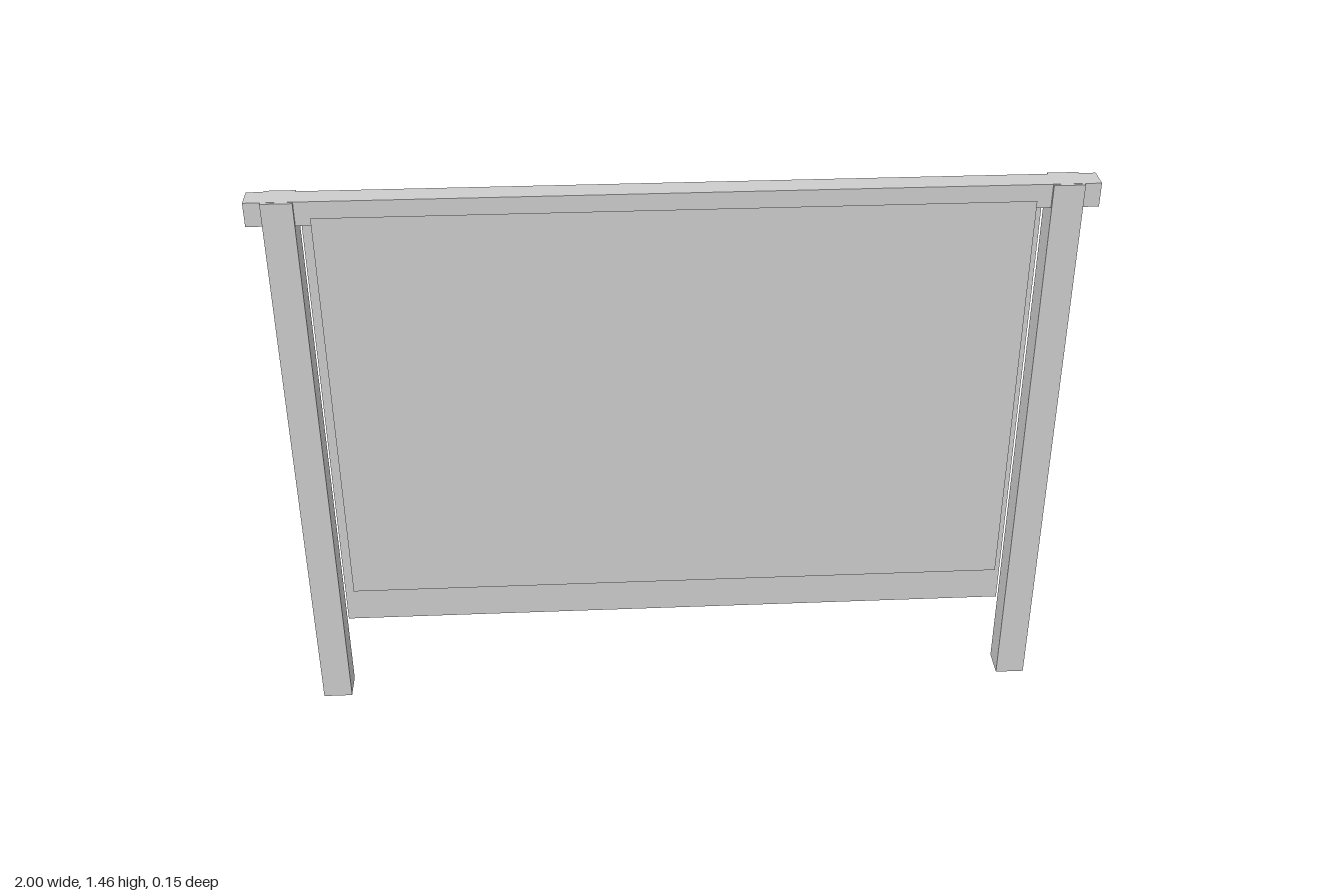
import * as THREE from 'three';

const grey = new THREE.MeshStandardMaterial({ color: 0xcccccc, flatShading: true, side: THREE.DoubleSide });
grey.name = 'light grey';

const V = (x, y) => new THREE.Vector2(x, y);

export function createModel() {
  const group = new THREE.Group();
  group.name = 'framedBoard';

  const add = (name, geometry, x, y, z) => {
    const mesh = new THREE.Mesh(geometry, grey);
    mesh.name = name;
    mesh.position.set(x, y, z);
    group.add(mesh);
  };

  // Two square posts
  const post = new THREE.BoxGeometry(0.075, 1.46, 0.075);
  for (const side of [-1, 1]) {
    add(side > 0 ? 'leftPost' : 'rightPost', post, side * 0.9225, 0.73, 0.028);
  }

  // Beam across the top
  add('topBeam', new THREE.BoxGeometry(2, 0.06, 0.06), 0, 1.4305, 0.028);

  // Thin sheets hung in front of and behind the frame
  add('frontSheet', new THREE.PlaneGeometry(1.694, 1.07), 0, 0.89, 0.0725);
  add('backSheet', new THREE.PlaneGeometry(1.765, 1.22), 0, 0.81, -0.015);

  // Row of six-sided pegs with shallow points above and below
  const peg = new THREE.LatheGeometry([V(0, -0.038), V(0.043, -0.025), V(0.043, 0.025), V(0, 0.038)], 6);
  peg.rotateY(Math.PI / 6);
  for (let i = -3; i <= 3; i++) {
    add('peg', peg, i * 0.269, 1.372, -0.0355);
  }

  return group;
}
